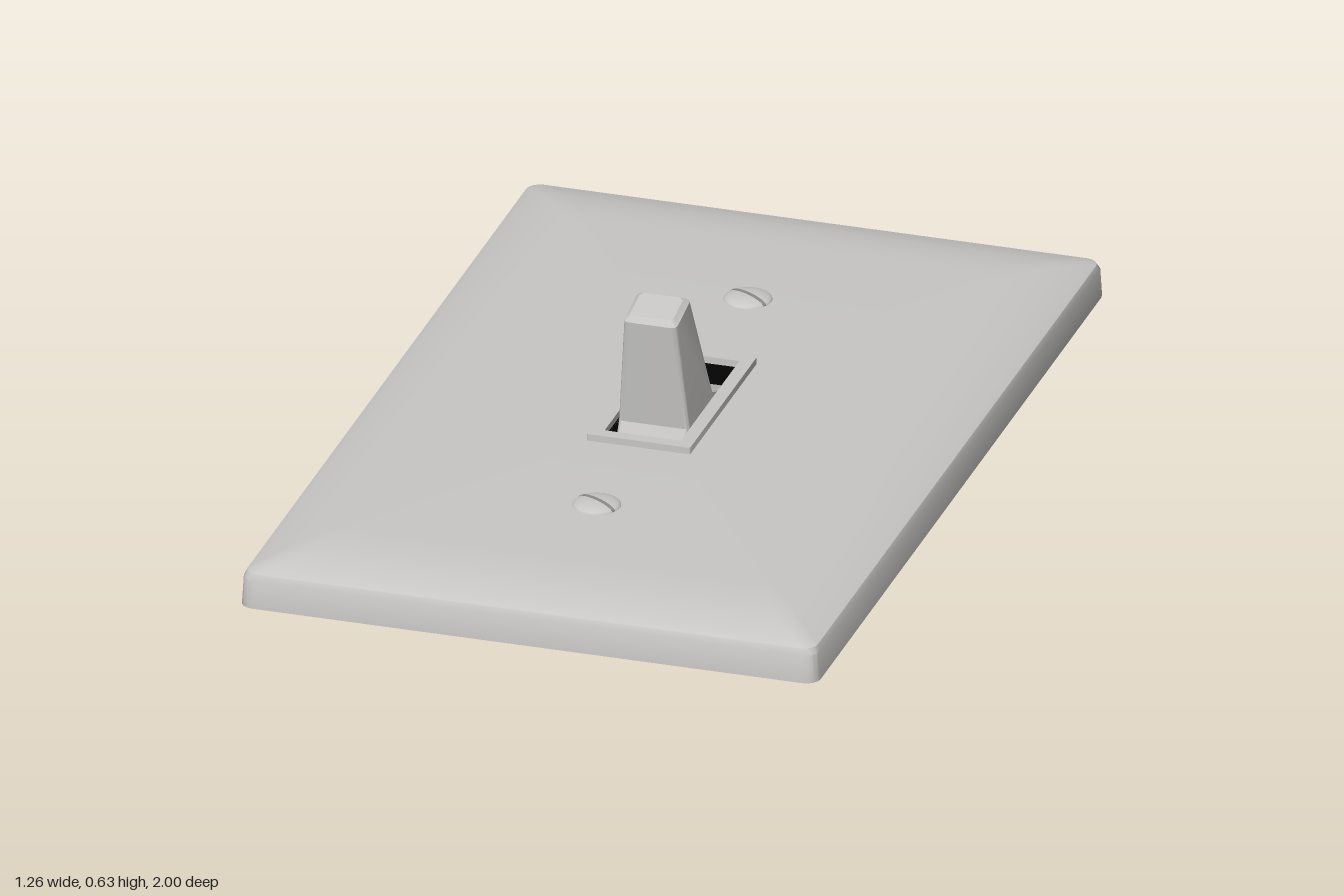
import * as THREE from 'three';
import { toCreasedNormals } from 'three/addons/utils/BufferGeometryUtils.js';

const CORNER = 4; // segments per rounded corner

// Rounded rectangle of points around y, optionally shifted and sloped along z
function ring(hx, hz, r, y, zc = 0, slope = 0) {
  const pts = [];
  const corners = [[1, 1], [-1, 1], [-1, -1], [1, -1]];
  corners.forEach(([sx, sz], c) => {
    for (let i = 0; i <= CORNER; i++) {
      const a = (c + i / CORNER) * Math.PI / 2;
      const x = sx * (hx - r) + r * Math.cos(a);
      const z = sz * (hz - r) + r * Math.sin(a);
      pts.push([x, y + slope * z, zc + z]);
    }
  });
  return pts;
}

// Skin a list of rings, creasing the sharp edges
function loft(rings, crease = 0.6) {
  const n = rings[0].length;
  const index = [];
  for (let j = 0; j < rings.length - 1; j++) {
    for (let i = 0; i < n; i++) {
      const k = (i + 1) % n;
      const a = j * n + i, a2 = j * n + k, b = a + n, b2 = a2 + n;
      index.push(a, b, b2, a, b2, a2);
    }
  }
  const g = new THREE.BufferGeometry();
  g.setAttribute('position', new THREE.Float32BufferAttribute(rings.flat(2), 3));
  g.setIndex(index);
  return toCreasedNormals(g, crease);
}

// Toggle cross-section from its front and back edges (z, y) and half width
function section([zf, yf], [zb, yb], hw, r = 0.012) {
  return ring(hw, (zf - zb) / 2, r, (yf + yb) / 2, (zf + zb) / 2, (yf - yb) / (zf - zb));
}

function centre(points) {
  const c = [0, 1, 2].map(k => points.reduce((s, p) => s + p[k], 0) / points.length);
  return points.map(() => c);
}

export function createModel() {
  const group = new THREE.Group();
  const mat = (name, color, side = THREE.FrontSide) => {
    const m = new THREE.MeshStandardMaterial({ color, side });
    m.name = name;
    return m;
  };
  const plastic = mat('light grey', 0xc8c7c5);
  const black = mat('black', 0x040404, THREE.DoubleSide);
  const shaftGrey = mat('dark grey', 0x5c5c5c);
  const slotGrey = mat('mid grey', 0x8a8a88);

  const add = (name, geometry, material, parent = group) => {
    const mesh = new THREE.Mesh(geometry, material);
    mesh.name = name;
    parent.add(mesh);
    return mesh;
  };

  // Wall plate with softly bevelled rim and an opening in the middle
  add('wallPlate', loft([
    ring(0.63, 1, 0.03, 0.25),
    ring(0.627, 0.997, 0.03, 0.312),
    ring(0.621, 0.991, 0.03, 0.325),
    ring(0.605, 0.975, 0.03, 0.333),
    ring(0.55, 0.91, 0.03, 0.347),
    ring(0.51, 0.855, 0.03, 0.355),
    ring(0.46, 0.8, 0.03, 0.358),
    ring(0.083, 0.202, 0.003, 0.358),
  ]), plastic);

  // Flat back and the dark well of the opening
  const backRim = ring(0.63, 1, 0.03, 0.25);
  add('plateBack', loft([centre(backRim), backRim]), black);
  add('openingWalls', loft([
    ring(0.083, 0.202, 0.003, 0.358), ring(0.083, 0.202, 0.003, 0.251),
  ]), black);

  // Raised frame around the opening
  add('openingFrame', loft([
    ring(0.112, 0.23, 0.003, 0.352),
    ring(0.112, 0.23, 0.003, 0.373),
    ring(0.083, 0.202, 0.003, 0.373),
    ring(0.083, 0.202, 0.003, 0.352),
  ]), plastic);

  // Toggle: rocker body below, tapering lever above
  const base = section([0.229, 0.003], [-0.272, 0.12], 0.057);
  const tip = section([0.147, 0.618], [0.066, 0.634], 0.047);
  add('toggle', loft([
    centre(base),
    base,
    section([0.243, 0.012], [-0.284, 0.132], 0.066),
    section([0.26, 0.11], [-0.262, 0.23], 0.08),
    section([0.19, 0.25], [-0.238, 0.25], 0.08),
    section([0.165, 0.3], [-0.195, 0.315], 0.077),
    section([0.131, 0.365], [-0.045, 0.375], 0.077),
    section([0.155, 0.605], [0.052, 0.626], 0.058),
    tip,
    centre(tip),
  ], 0.55), plastic);

  // Two slotted screws
  const dome = [];
  for (let i = 0; i <= 8; i++) {
    const a = i / 8 * Math.PI / 2;
    dome.push(new THREE.Vector2(0.051 * Math.cos(a), 0.013 * Math.sin(a)));
  }
  dome[8].x = 0;
  const arc = [...dome, ...dome.slice(0, 8).reverse().map(p => new THREE.Vector2(-p.x, p.y))];
  const slotGeometry = new THREE.ExtrudeGeometry(new THREE.Shape(arc), { depth: 0.008, bevelEnabled: false });
  slotGeometry.translate(0, 0.0008, -0.004);
  for (const z of [-0.525, 0.52]) {
    const screw = new THREE.Group();
    screw.name = z > 0 ? 'frontScrew' : 'backScrew';
    screw.position.set(0, 0.358, z);
    add('screwHead', new THREE.LatheGeometry(dome, 32), plastic, screw);
    add('screwSlot', slotGeometry, slotGrey, screw).rotation.y = -0.5;
    add('screwShaft', new THREE.CylinderGeometry(0.027, 0.027, 0.1, 24), shaftGrey, screw).position.y = -0.082;
    group.add(screw);
  }
  return group;
}
